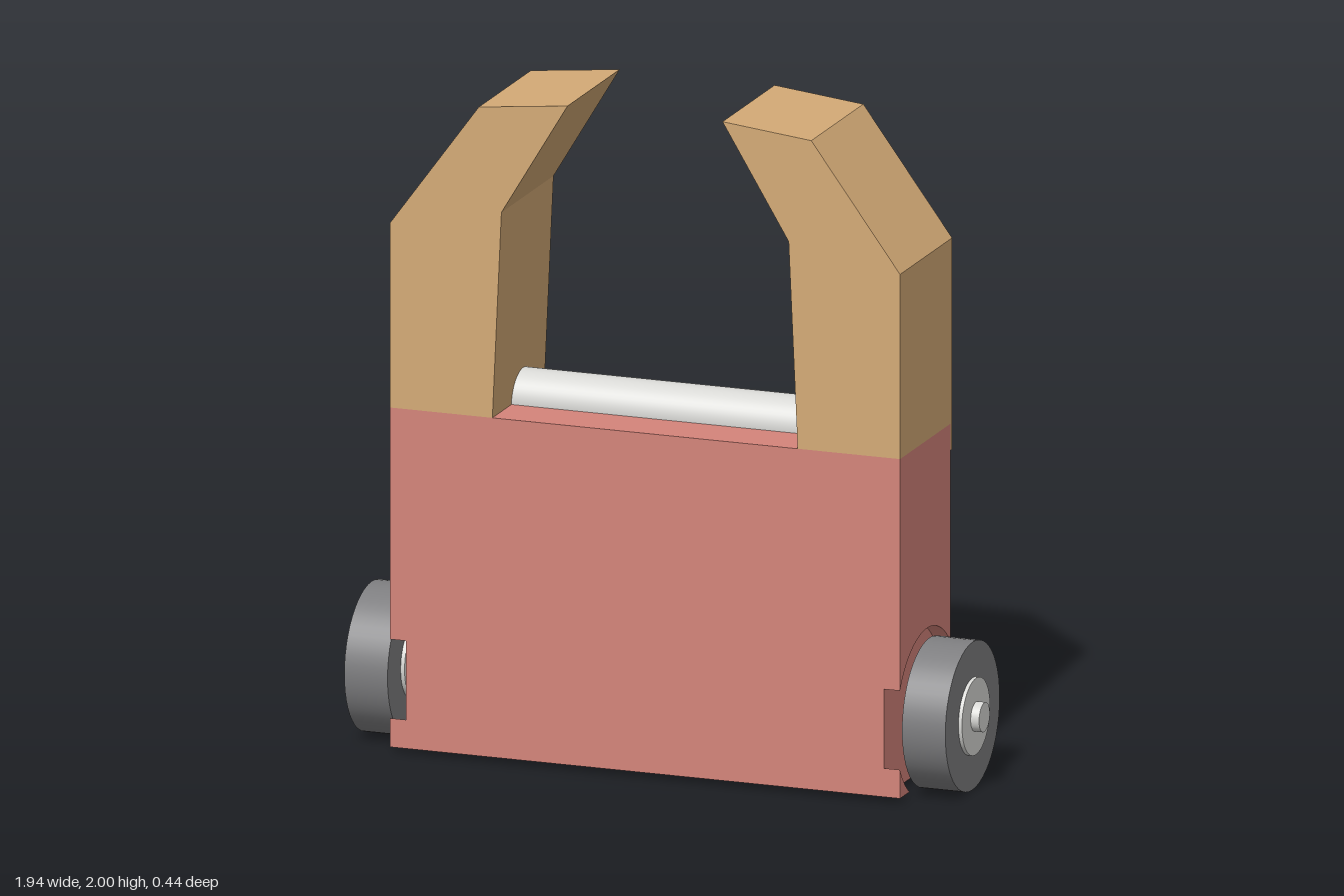
import * as THREE from 'three';

const paint = (name, color) => {
  const m = new THREE.MeshStandardMaterial({ color });
  m.name = name;
  return m;
};

export function createModel() {
  const model = new THREE.Group();
  model.name = 'gripperRobot';
  const red = paint('bodyRed', 0xd4847a);
  const tan = paint('armTan', 0xd4aa76);
  const grey = paint('tyreGrey', 0x7e7e80);
  const silver = paint('metalSilver', 0xd8d8d5);

  const add = (name, geometry, material, parent = model) => {
    const mesh = new THREE.Mesh(geometry, material);
    mesh.name = name;
    parent.add(mesh);
    return mesh;
  };
  // box given by its limits on each axis
  const block = (x0, x1, y0, y1, z0, z1) =>
    new THREE.BoxGeometry(x1 - x0, y1 - y0, z1 - z0)
      .translate((x0 + x1) / 2, (y0 + y1) / 2, (z0 + z1) / 2);
  // cylinder lying along x
  const rod = (r, x0, x1, y, z) =>
    new THREE.CylinderGeometry(r, r, x1 - x0, 48)
      .rotateZ(-Math.PI / 2).translate((x0 + x1) / 2, y, z);
  const extrude = (shape, depth) =>
    new THREE.ExtrudeGeometry(shape, { depth, bevelEnabled: false, curveSegments: 32 });
  const polygon = (pts) => new THREE.Shape(pts.map(([x, y]) => new THREE.Vector2(x, y)));

  const W = 0.79, core = 0.74, bottom = 0.02, top = 1.04, front = 0.22, back = -0.19;
  const axleY = 0.225, wellR = 0.25;

  // body core, with a back panel holding a small slot
  add('bodyCore', block(-core, core, bottom, top, -0.15, front), red);
  const panel = polygon([[-core, bottom], [core, bottom], [core, top], [-core, top]]);
  const [sx0, sx1, sy0, sy1] = [-0.105, 0.035, 0.165, 0.225];
  panel.holes.push(new THREE.Path([[sx0, sy0], [sx0, sy1], [sx1, sy1], [sx1, sy0]]
    .map(([x, y]) => new THREE.Vector2(x, y))));
  add('backPanel', extrude(panel, 0.04).translate(0, 0, back), red);
  add('slotSwitch', block(sx0, sx1, sy0, sy1, -0.158, -0.15), grey);

  // side skins cut away by the round wheel wells, drawn as (z, y)
  const dyF = Math.sqrt(wellR ** 2 - front ** 2);
  const dyB = Math.sqrt(wellR ** 2 - back ** 2);
  const drop = axleY - bottom;
  const dz = Math.sqrt(wellR ** 2 - drop ** 2);
  const skin = (a0, a1, corners) => {
    const s = new THREE.Shape();
    s.absarc(0, axleY, wellR, a0, a1, false);
    corners.forEach(([z, y]) => s.lineTo(z, y));
    s.closePath();
    return s;
  };
  const skins = {
    Upper: skin(Math.atan2(dyF, front), Math.atan2(dyB, back), [[back, top], [front, top]]),
    FrontFoot: skin(Math.atan2(-drop, dz), Math.atan2(-dyF, front), [[front, bottom]]),
    BackFoot: skin(Math.atan2(-dyB, back), Math.atan2(-drop, -dz), [[back, bottom]]),
  };

  // arm outline, for the left (+x) side
  const arm = [[W, top], [W, 1.595], [0.515, 1.97], [0.24, 2], [0.445, 1.66], [0.473, top]];

  for (const [side, s] of [['left', 1], ['right', -1]]) {
    for (const [part, shape] of Object.entries(skins)) {
      add(`${side}Skin${part}`, extrude(shape, W - core).rotateY(-Math.PI / 2)
        .translate(s > 0 ? W : -core, 0, 0), red);
    }

    // claw arm, with a tab lapping over the back of the body
    const claw = polygon(arm.map(([x, y]) => [s * x, y]));
    add(`${side}Arm`, extrude(claw, 0.425).translate(0, 0, -0.205), tan);
    const [a, b] = s > 0 ? [0.473, W] : [-W, -0.473];
    add(`${side}ArmTab`, block(a, b, 0.96, top, -0.205, back), tan);

    // wheel with hub and axle
    const wheel = new THREE.Group();
    wheel.name = `${side}Wheel`;
    model.add(wheel);
    const span = (r, x0, x1) => s > 0 ? rod(r, x0, x1, axleY, 0) : rod(r, -x1, -x0, axleY, 0);
    add('tyre', span(0.222, 0.797, 0.931), grey, wheel);
    add('hub', span(0.115, 0.785, 0.942), silver, wheel);
    add('axle', span(0.044, core, 0.968), silver, wheel);
  }

  // roller between the arms
  add('roller', rod(0.085, -0.5, 0.5, 1.045, -0.02), silver);
  return model;
}
